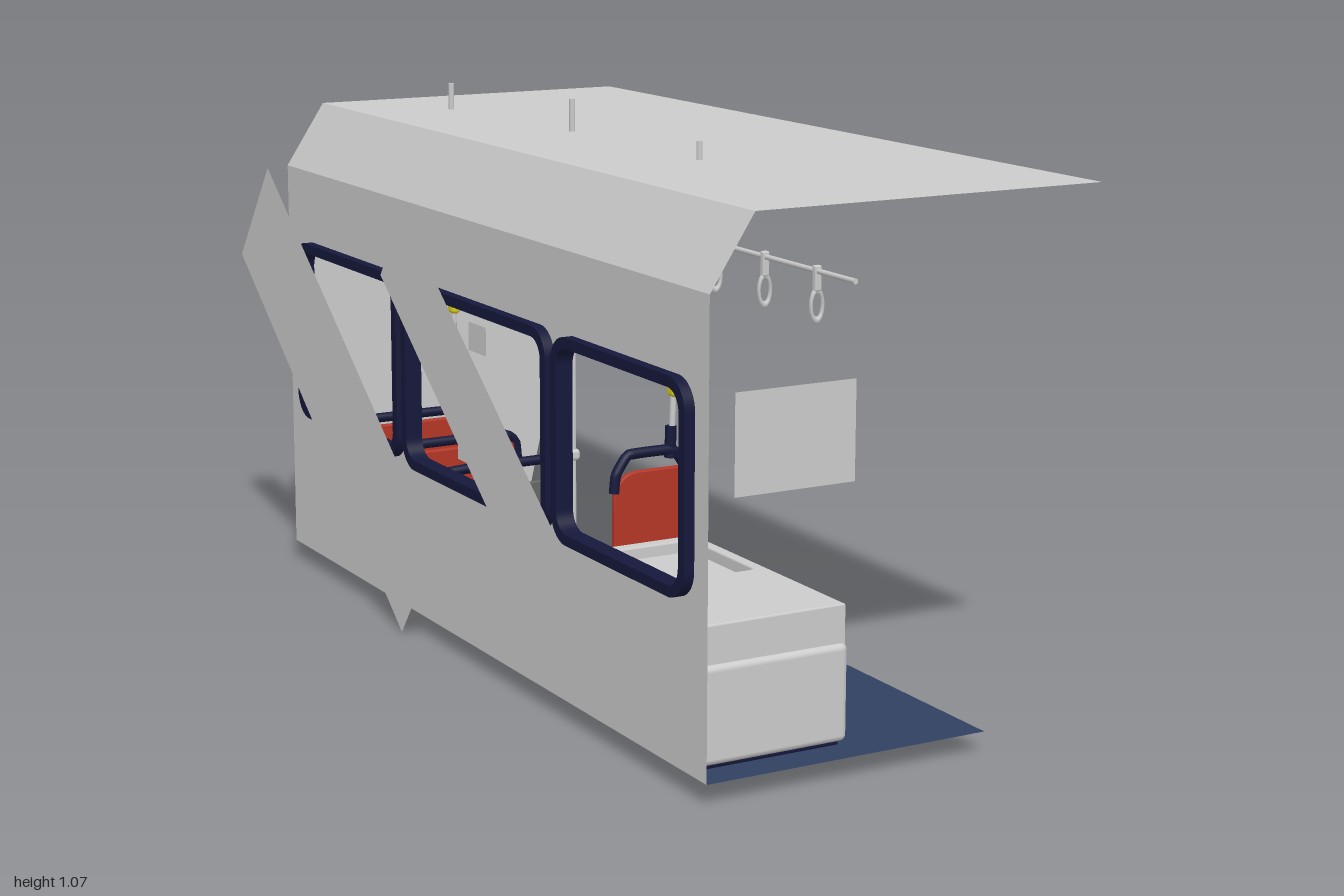
import * as THREE from 'three';
import { RoundedBoxGeometry } from 'three/addons/geometries/RoundedBoxGeometry.js';

const mat = (color) => new THREE.MeshStandardMaterial({ color, side: THREE.DoubleSide });
const GREY = mat(0xcccccc), RED = mat(0xb53626), NAVY = mat(0x15183a);
const YELLOW = mat(0xd9cc1c), FLOOR = mat(0x2f4060), DARK = mat(0x666666);

export function createModel() {
  const root = new THREE.Group();

  const add = (name, geo, material = GREY, parent = root) => {
    const m = new THREE.Mesh(geo, material);
    m.name = name;
    parent.add(m);
    return m;
  };
  // Rounded box given by its min and max corners
  const box = (name, [x0, y0, z0], [x1, y1, z1], material, r = 0.005, parent = root) => {
    const g = new RoundedBoxGeometry(x1 - x0, y1 - y0, z1 - z0, 2, r);
    g.translate((x0 + x1) / 2, (y0 + y1) / 2, (z0 + z1) / 2);
    return add(name, g, material, parent);
  };
  // Round bar through straight-sided points
  const bar = (name, pts, r, material = GREY, parent = root) => {
    const path = new THREE.CurvePath();
    const v = pts.map((p) => new THREE.Vector3(...p));
    for (let i = 1; i < v.length; i++) path.add(new THREE.LineCurve3(v[i - 1], v[i]));
    const curve = v.length > 2 ? new THREE.CatmullRomCurve3(v, false, 'catmullrom', 0.15) : path;
    const g = new THREE.TubeGeometry(curve, v.length > 2 ? 32 : 1, r, 10);
    add(name, g, material, parent);
    // end caps
    for (const [p, q] of [[v[0], v[1]], [v.at(-1), v.at(-2)]]) {
      const cap = add(name + 'Cap', new THREE.CircleGeometry(r, 10), material, parent);
      cap.position.copy(p);
      cap.lookAt(p.clone().multiplyScalar(2).sub(q));
    }
  };
  const roundRect = (T, x0, y0, x1, y1, r) => {
    const s = new T();
    s.moveTo(x0 + r, y0);
    s.lineTo(x1 - r, y0).absarc(x1 - r, y0 + r, r, -Math.PI / 2, 0);
    s.lineTo(x1, y1 - r).absarc(x1 - r, y1 - r, r, 0, Math.PI / 2);
    s.lineTo(x0 + r, y1).absarc(x0 + r, y1 - r, r, Math.PI / 2, Math.PI);
    s.lineTo(x0, y0 + r).absarc(x0 + r, y0 + r, r, Math.PI, Math.PI * 1.5);
    return s;
  };
  const rect = (x0, y0, x1, y1) => new THREE.Shape([[x0, y0], [x1, y0], [x1, y1], [x0, y1]].map((p) => new THREE.Vector2(...p)));
  // Thin sheet parallel to the side wall
  const sheet = (name, x, y, z, w, h, angle = 0) => {
    const g = new THREE.PlaneGeometry(w, h).rotateZ(angle).rotateY(Math.PI / 2);
    return add(name, g.translate(x, y, z));
  };

  // Side wall with window openings (shape x runs along -z)
  const Z0 = -0.79, Z1 = 1;
  const windows = [[0.475, 0.955], [-0.17, 0.455], [-0.71, -0.195]];
  const wall = rect(-Z1, 0.04, -Z0, 0.875);
  for (const [a, b] of windows) {
    wall.holes.push(roundRect(THREE.Path, -b + 0.01, 0.355, -a - 0.01, 0.715, 0.045));
    const frame = roundRect(THREE.Shape, -b, 0.345, -a, 0.725, 0.055);
    frame.holes.push(roundRect(THREE.Path, -b + 0.02, 0.365, -a - 0.02, 0.705, 0.038));
    const g = new THREE.ExtrudeGeometry(frame, { depth: 0.035, bevelEnabled: false, curveSegments: 8 });
    add('windowFrame', g.rotateY(Math.PI / 2).translate(-0.4, 0, 0), NAVY);
  }
  add('sideWall', new THREE.ShapeGeometry(wall, 8).rotateY(Math.PI / 2).translate(-0.38, 0, 0));

  // Floor, ceiling, sloped cove and end wall
  const flat = (name, x0, y0, x1, y1, material) => {
    const L = Math.hypot(x1 - x0, y1 - y0);
    const g = new THREE.PlaneGeometry(L, Z1 - Z0).rotateX(-Math.PI / 2).rotateZ(Math.atan2(y1 - y0, x1 - x0));
    add(name, g.translate((x0 + x1) / 2, (y0 + y1) / 2, (Z0 + Z1) / 2), material);
  };
  flat('floor', -0.38, 0.04, 0.19, 0.04, FLOOR);
  flat('ceiling', -0.295, 1.005, 0.41, 1.005);
  flat('ceilingCove', -0.38, 0.875, -0.295, 1.005);
  const end = [[-0.38, 0.04], [0.19, 0.04], [0.41, 1.005], [-0.295, 1.005], [-0.38, 0.875]];
  add('endWall', new THREE.ShapeGeometry(new THREE.Shape(end.map((p) => new THREE.Vector2(...p)))).translate(0, 0, Z0));

  // Loose sheets outside the windows, small notices, hanging board
  sheet('outerSheetLarge', -0.41, 0.433, -0.4975, 1.06, 0.27, 0.665);
  sheet('outerSheetSmall', -0.41, 0.545, 0.13, 0.8, 0.18, 0.665);
  sheet('notice', -0.378, 0.652, 0.133, 0.075, 0.055);
  for (const z of [0.195, 0.132, 0.07]) sheet('notice', -0.378, 0.427, z, 0.055, 0.055);
  sheet('notice', -0.378, 0.43, -0.465, 0.07, 0.055);
  sheet('tiltedNotice', -0.371, 0.785, -0.475, 0.09, 0.07, -0.45);
  add('hangingBoard', new THREE.PlaneGeometry(0.24, 0.18).translate(-0.18, 0.605, 0.95));

  // Overhead rail with straps
  bar('overheadRail', [[-0.075, 0.865, 0.965], [-0.075, 0.865, -0.7]], 0.005);
  for (let i = 0; i < 9; i++) {
    const strap = new THREE.Group();
    strap.name = 'strap';
    strap.position.set(-0.075, 0.865, 0.845 - i * 0.1706);
    box('strapBand', [-0.007, -0.035, -0.006], [0.007, 0.01, 0.006], GREY, 0.003, strap);
    const ring = add('strapRing', new THREE.TorusGeometry(0.012, 0.003, 6, 16), GREY, strap);
    ring.scale.set(1, 2.2, 1.6);
    ring.position.y = -0.06;
    root.add(strap);
  }

  // Grab poles with yellow stop buttons
  bar('bentPole', [[-0.055, 1.04, 0.41], [-0.055, 0.84, 0.41], [-0.102, 0.69, 0.41], [-0.112, 0.47, 0.41]], 0.006);
  bar('middlePole', [[-0.058, 0.04, -0.085], [-0.058, 1.07, -0.085]], 0.006);
  bar('rearPole', [[-0.102, 0.36, -0.55], [-0.102, 1.06, -0.55]], 0.006);
  for (const [x, z] of [[-0.107, 0.41], [-0.056, -0.085], [-0.102, -0.55]])
    box('stopButton', [x - 0.01, 0.565, z - 0.014], [x + 0.01, 0.625, z + 0.014], YELLOW, 0.008);
  bar('poleSleeve', [[-0.115, 0.45, 0.41], [-0.113, 0.51, 0.41]], 0.011, NAVY);
  bar('poleSleeve', [[-0.102, 0.34, -0.55], [-0.102, 0.4, -0.55]], 0.011, NAVY);

  // Upright seat back with curved top, handle and support post
  const seatBack = (x0, x1, y0, y1, z, handleTop, postX) => {
    const s = new THREE.Shape();
    s.moveTo(x0, y0);
    s.lineTo(x1, y0);
    s.lineTo(x1, y1 - 0.02);
    s.quadraticCurveTo(x1, y1, x1 - 0.025, y1);
    s.lineTo(x0 + 0.05, y1);
    s.quadraticCurveTo(x0, y1, x0, y1 - 0.06);
    const g = new THREE.ExtrudeGeometry(s, { depth: 0.006, bevelSize: 0.003, bevelThickness: 0.003, bevelSegments: 2 });
    add('seatBack', g.translate(0, 0, z - 0.003), RED);
    bar('seatHandle', [[x0, y1 - 0.035, z], [x0 + 0.004, y1, z], [x0 + 0.03, handleTop, z],
      [x1 - 0.03, handleTop, z], [x1 - 0.004, y1, z], [x1, y1 - 0.035, z]], 0.01, NAVY);
    bar('seatPost', [[postX, 0.04, z], [postX, y1 - 0.01, z]], 0.007);
  };
  seatBack(-0.235, -0.08, 0.25, 0.43, 0.412, 0.465, -0.072);
  for (const z of [-0.285, -0.55]) {
    seatBack(-0.365, -0.085, 0.15, 0.335, z, 0.353, -0.085);
    box('seatCushion', [-0.37, 0.145, z + 0.008], [-0.09, 0.17, z + 0.152], RED, 0.008);
  }

  // Three-place bench along the wall
  for (let i = 0; i < 3; i++) {
    const z1 = 0.375 - i * 0.1425, z0 = z1 - 0.139;
    box('benchCushion', [-0.365, 0.152, z0], [-0.14, 0.178, z1], RED, 0.01);
    const back = box('benchBack', [-0.012, 0, z0], [0.012, 0.155, z1], RED, 0.01);
    back.position.set(-0.335, 0.172, 0);
    back.rotation.z = 0.15;
  }
  box('benchBase', [-0.375, 0.138, -0.05], [-0.155, 0.152, 0.375], NAVY, 0.004);
  const disc = add('benchDisc', new THREE.CircleGeometry(0.042, 24).rotateY(Math.PI / 2));
  disc.position.set(-0.326, 0.235, 0.315);
  disc.rotation.z = 0.15;

  // Partition with rail clamped to the middle pole
  box('partition', [-0.36, 0.05, -0.089], [-0.068, 0.3, -0.081], DARK, 0.003);
  bar('partitionRail', [[-0.365, 0.3, -0.085], [-0.355, 0.338, -0.085], [-0.3, 0.343, -0.085], [-0.085, 0.343, -0.085]], 0.01, NAVY);
  box('railClamp', [-0.09, 0.333, -0.097], [-0.046, 0.357, -0.073], GREY, 0.008);

  // Front cabinet: plinth, body, stepped top with a tray recess
  box('cabinetPlinth', [-0.362, 0.04, 0.425], [-0.075, 0.05, 0.935], NAVY, 0.003);
  box('cabinetBody', [-0.368, 0.047, 0.415], [-0.062, 0.225, 0.945], GREY, 0.012);
  const top = rect(-0.36, -0.932, -0.068, -0.418);
  top.holes.push(roundRect(THREE.Path, -0.3, -0.675, -0.085, -0.44, 0.015));
  const topGeo = new THREE.ExtrudeGeometry(top, { depth: 0.075, bevelSize: 0.003, bevelThickness: 0.003, bevelSegments: 2 });
  add('cabinetTop', topGeo.rotateX(-Math.PI / 2).translate(0, 0.217, 0));
  add('cabinetTray', new THREE.PlaneGeometry(0.25, 0.27).rotateX(-Math.PI / 2).translate(-0.19, 0.272, 0.557));
  sheet('cabinetLabel', -0.06, 0.132, 0.64, 0.11, 0.075, 0.12);

  return root;
}
